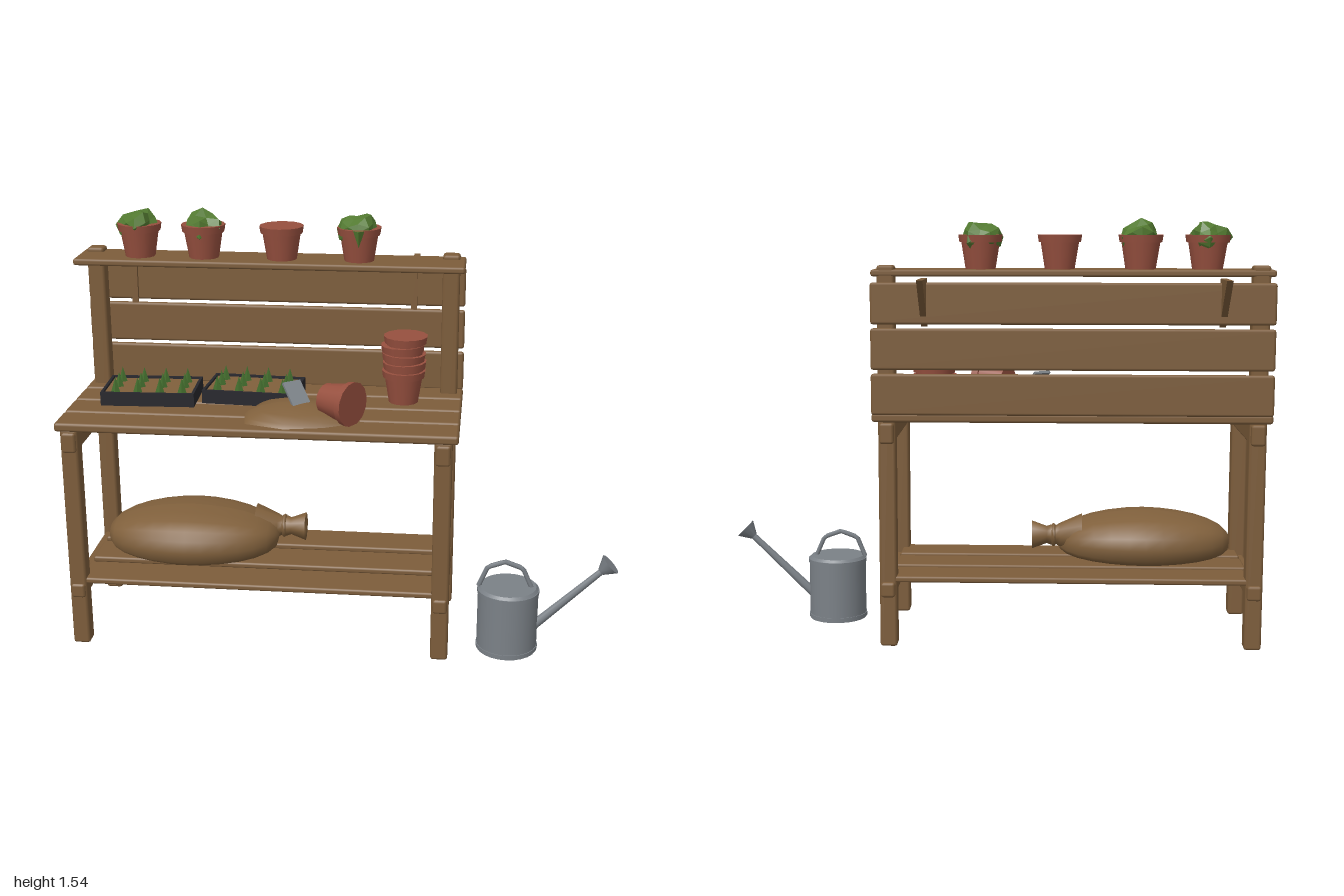
import * as THREE from 'three';
import { RoundedBoxGeometry } from 'three/addons/geometries/RoundedBoxGeometry.js';

const mat = (name, color, extra = {}) => {
  const m = new THREE.MeshStandardMaterial({ color, ...extra });
  m.name = name;
  return m;
};

export function createModel() {
  const wood = mat('wood', 0x7d5d3b);
  const burlap = mat('burlap', 0x80603c);
  const clay = mat('terracotta', 0x97503f);
  const metal = mat('metal', 0x7b8187);
  const leaf = mat('leaf', 0x537a31, { flatShading: true });
  const sprout = mat('sprout', 0x416b2c, { flatShading: true });
  const black = mat('trayPlastic', 0x27272d);

  const model = new THREE.Group();
  model.name = 'pottingBench';

  const add = (name, geo, material, x = 0, y = 0, z = 0, parent = model) => {
    const m = new THREE.Mesh(geo, material);
    m.name = name;
    m.position.set(x, y, z);
    parent.add(m);
    return m;
  };
  // Softened plank given by its extents
  const plank = (name, x0, x1, y0, y1, z0, z1) => {
    const w = x1 - x0, h = y1 - y0, d = z1 - z0;
    const r = Math.min(w, h, d) * 0.35;
    return add(name, new RoundedBoxGeometry(w, h, d, 1, Math.min(r, 0.01)), wood,
      (x0 + x1) / 2, (y0 + y1) / 2, (z0 + z1) / 2);
  };

  // Legs and side rails
  for (const x of [-0.95, 0.36]) {
    plank('frontLeg', x - 0.031, x + 0.031, 0, 0.83, 0.284, 0.347);
    plank('backLeg', x - 0.031, x + 0.031, 0, 1.375, -0.188, -0.125);
    plank('upperRail', x - 0.026, x + 0.026, 0.745, 0.82, -0.206, 0.355);
    plank('lowerRail', x - 0.026, x + 0.026, 0.186, 0.24, -0.206, 0.355);
  }
  // Worktop, lower shelf, back boards and top shelf
  for (let i = 0; i < 4; i++) {
    const z = 0.285 - i * 0.141;
    plank('worktopBoard', -1, 0.412, 0.823, 0.855, z - 0.067, z + 0.067);
  }
  for (let i = 0; i < 3; i++) {
    const z = 0.263 - i * 0.186;
    plank('lowerShelfBoard', -0.945, 0.355, 0.238, 0.26, z - 0.077, z + 0.077);
    const y = 0.923 + i * 0.16;
    plank('backBoard', -1, 0.412, y - 0.073, y + 0.073, -0.214, -0.187);
  }
  plank('topShelf', -1, 0.412, 1.336, 1.36, -0.19, 0);

  // Triangular brackets behind the back boards; shape x is -z
  const tri = new THREE.Shape([[0.172, 1.33], [0.172, 1.16], [0.355, 1.33]].map(p => new THREE.Vector2(...p)));
  const bracketGeo = new THREE.ExtrudeGeometry(tri, { depth: 0.022, bevelEnabled: false }).rotateY(Math.PI / 2);
  for (const x of [-0.83, 0.214]) add('bracket', bracketGeo, wood, x, 0, 0);

  // Clay pots: tapered body with a rim, closed on top
  const bodyGeo = new THREE.CylinderGeometry(0.07, 0.054, 0.1, 14);
  const rimGeo = new THREE.CylinderGeometry(0.08, 0.076, 0.026, 14);
  const pot = (name, x, y, z) => {
    const g = new THREE.Group();
    g.name = name;
    g.position.set(x, y, z);
    add('potBody', bodyGeo, clay, 0, 0.05, 0, g);
    add('potRim', rimGeo, clay, 0, 0.107, 0, g);
    model.add(g);
    return g;
  };
  // Lumpy faceted foliage
  const foliage = (seed) => {
    const geo = new THREE.IcosahedronGeometry(1, 1);
    const p = geo.attributes.position, v = new THREE.Vector3();
    for (let i = 0; i < p.count; i++) {
      v.fromBufferAttribute(p, i);
      const k = 1 + 0.14 * Math.sin(v.x * 5 + seed) + 0.12 * Math.sin(v.z * 6 + seed * 2.3 + v.y * 3);
      p.setXYZ(i, v.x * 0.07 * k, v.y * 0.055 * k, v.z * 0.07 * k);
    }
    geo.computeVertexNormals();
    return geo;
  };
  [-0.77, -0.535, -0.25, 0.03].forEach((x, i) => {
    const g = pot('shelfPot', x, 1.36, -0.09);
    if (i !== 2) add('foliage', foliage(i * 1.7 + 0.6), leaf, 0, 0.112, 0, g);
    if (i === 3) {
      const droop = add('droopingLeaf', new THREE.ConeGeometry(0.02, 0.06, 4), leaf, 0.005, 0.09, 0.078, g);
      droop.rotation.x = Math.PI;
    }
  });
  // Nested stack, slightly uneven
  for (let i = 0; i < 5; i++) {
    const g = pot('stackedPot', 0.2 + 0.005 * Math.sin(i * 2), 0.857 + i * 0.032, -0.018);
    g.rotation.z = 0.03 * Math.sin(i * 2.4);
  }
  // Tipped pot, mouth towards the front left
  const tipped = pot('tippedPot', -0.06, 0.93, 0.2);
  tipped.quaternion.setFromUnitVectors(new THREE.Vector3(0, 1, 0), new THREE.Vector3(0.85, 0, 0.53).normalize());

  // Soil heap on the worktop
  const heap = new THREE.SphereGeometry(1, 9, 4, 0, Math.PI * 2, 0, Math.PI / 2);
  const hp = heap.attributes.position;
  for (let i = 0; i < hp.count; i++) {
    const x = hp.getX(i), z = hp.getZ(i);
    const k = 1 + 0.1 * Math.sin(3 * Math.atan2(z, x) + 1);
    hp.setXYZ(i, x * 0.215 * k, Math.pow(hp.getY(i), 1.4) * 0.055, z * 0.155 * k);
  }
  heap.computeVertexNormals();
  add('soilHeap', heap, burlap, -0.155, 0.855, 0.18);

  // Trowel blade stuck in the heap
  const blade = add('trowelBlade', new THREE.BoxGeometry(0.07, 0.01, 0.12), metal, -0.163, 0.928, 0.178);
  blade.lookAt(-0.205 + 0.084, 0.928 - 0.062, 0.178 + 0.056);

  // Seed trays with three rows of four seedlings
  const coneGeo = new THREE.ConeGeometry(0.018, 0.055, 5);
  const tray = (x, z, turn) => {
    const g = new THREE.Group();
    g.name = 'seedTray';
    g.position.set(x, 0.855, z);
    g.rotation.y = turn;
    model.add(g);
    add('trayBase', new THREE.BoxGeometry(0.335, 0.02, 0.21), black, 0, 0.01, 0, g);
    add('traySoil', new THREE.BoxGeometry(0.32, 0.024, 0.195), burlap, 0, 0.03, 0, g);
    for (const s of [-1, 1]) {
      add('trayLongWall', new THREE.BoxGeometry(0.34, 0.05, 0.01), black, 0, 0.025, s * 0.102, g);
      add('trayEndWall', new THREE.BoxGeometry(0.01, 0.05, 0.21), black, s * 0.165, 0.025, 0, g);
    }
    for (let i = 0; i < 12; i++)
      add('seedling', coneGeo, sprout, (i % 4 - 1.5) * 0.081, 0.068, (Math.floor(i / 4) - 1) * 0.065, g);
  };
  tray(-0.72, 0.027, 0.04);
  tray(-0.35, -0.02, -0.065);

  // Sack lying on the lower shelf
  const sack = new THREE.SphereGeometry(1, 20, 14).rotateZ(-Math.PI / 2);
  const sp = sack.attributes.position;
  const soft = (v, e) => Math.sign(v) * Math.pow(Math.abs(v), e);
  for (let i = 0; i < sp.count; i++) {
    const y = sp.getY(i);
    sp.setXYZ(i, soft(sp.getX(i), 1.1) * 0.32,
      y > 0 ? soft(y, 0.85) * 0.115 : soft(y, 0.6) * 0.08, soft(sp.getZ(i), 0.85) * 0.203);
  }
  sack.computeVertexNormals();
  add('sackBody', sack, burlap, -0.57, 0.345, 0.08);
  const neck = [[0, 0.08], [0.08, 0.045], [0.1, 0.033], [0.115, 0.038], [0.13, 0.032], [0.185, 0.052], [0.18, 0.03], [0.16, 0]]
    .map(([y, r]) => new THREE.Vector2(r, y));
  add('sackNeck', new THREE.LatheGeometry(neck, 10).rotateZ(-Math.PI / 2), burlap, -0.34, 0.37, 0.04);
  add('sackTie', new THREE.TorusGeometry(0.036, 0.008, 6, 12).rotateY(Math.PI / 2), burlap, -0.235, 0.37, 0.04);

  // Watering can
  const can = new THREE.Group();
  can.name = 'wateringCan';
  can.position.set(0.602, 0, 0.213);
  model.add(can);
  add('canBody', new THREE.CylinderGeometry(0.109, 0.109, 0.235, 24), metal, 0, 0.1175, 0, can);
  add('canShoulder', new THREE.CylinderGeometry(0.101, 0.109, 0.01, 24), metal, 0, 0.24, 0, can);
  for (const y of [0.012, 0.228])
    add('canBand', new THREE.CylinderGeometry(0.112, 0.112, 0.014, 24), metal, 0, y, 0, can);
  const path = new THREE.CurvePath();
  const pts = [[-0.107, 0.24], [-0.077, 0.315], [-0.014, 0.338], [0.05, 0.315], [0.083, 0.24]]
    .map(([x, y]) => new THREE.Vector3(x, y, 0));
  for (let i = 1; i < pts.length; i++) path.add(new THREE.LineCurve3(pts[i - 1], pts[i]));
  add('canHandle', new THREE.TubeGeometry(path, 16, 0.009, 6), metal, 0, 0, 0, can);
  // Spout and rose share one slanted axis
  const spout = new THREE.Group();
  spout.name = 'spout';
  spout.position.set(0.09, 0.085, 0);
  spout.rotation.z = -0.8;
  can.add(spout);
  add('spoutTube', new THREE.CylinderGeometry(0.012, 0.018, 0.34, 8), metal, 0, 0.17, 0, spout);
  add('spoutRose', new THREE.CylinderGeometry(0.041, 0.014, 0.045, 10), metal, 0, 0.352, 0, spout);

  return model;
}
